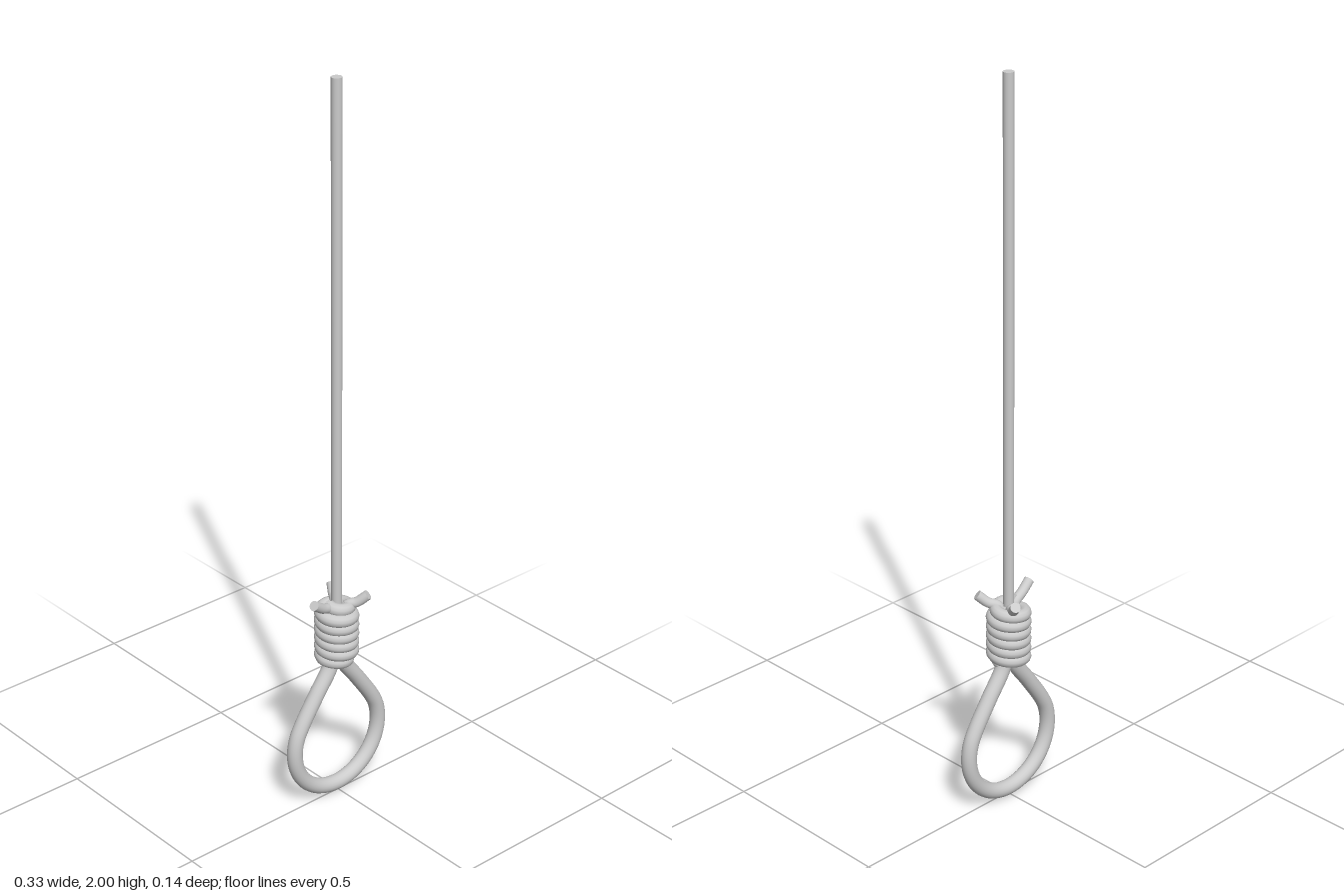
import * as THREE from 'three';

const V = (x, y, z) => new THREE.Vector3(x, y, z);

export function createModel() {
  const model = new THREE.Group();
  const mat = new THREE.MeshStandardMaterial({ color: 0xcccccc });
  const Z = -0.005; // rope axis

  const add = (name, geometry) => {
    const mesh = new THREE.Mesh(geometry, mat);
    mesh.name = name;
    model.add(mesh);
    return mesh;
  };

  // Round rope along a smooth path, with both ends capped
  const rope = (name, points, radius, segments, sides = 16) => {
    const curve = new THREE.CatmullRomCurve3(points);
    const mesh = add(name, new THREE.TubeGeometry(curve, segments, radius, sides));
    for (const t of [0, 1]) {
      const cap = new THREE.Mesh(new THREE.CircleGeometry(radius, sides), mat);
      const dir = curve.getTangentAt(t).multiplyScalar(t ? 1 : -1);
      cap.name = name + 'End';
      cap.position.copy(curve.getPointAt(t));
      cap.quaternion.setFromUnitVectors(V(0, 0, 1), dir);
      mesh.add(cap);
    }
    return mesh;
  };

  // Long straight rope, running down through the coil
  const bottom = 0.41, top = 2;
  add('straightRope', new THREE.CylinderGeometry(0.014, 0.014, top - bottom, 16))
    .position.set(0, (top + bottom) / 2, Z);

  // Teardrop loop: a round bottom with sides closing toward the coil
  const loop = [V(-0.012, 0.43, Z), V(-0.024, 0.39, Z), V(-0.07, 0.325, Z)];
  const R = 0.146, cy = 0.168;
  for (let i = 0; i <= 16; i++) {
    const a = Math.PI * 0.81 + (i / 16) * Math.PI * 1.38;
    loop.push(V(R * Math.cos(a), cy + R * Math.sin(a), Z));
  }
  loop.push(V(0.07, 0.325, Z), V(0.024, 0.39, Z), V(0.012, 0.43, Z));
  rope('loop', loop, 0.021, 120, 20);

  // Wrapped coil, drawn inward on its first and last half turn
  const coil = [], turns = 6.5, steps = 130;
  for (let i = 0; i <= steps; i++) {
    const t = (i / steps) * turns;
    const inward = Math.max(0, 1 - t / 0.5, 1 - (turns - t) / 0.8);
    const r = 0.042 - 0.018 * inward;
    const a = t * Math.PI * 2;
    coil.push(V(r * Math.cos(a), 0.409 + t * 0.0255, Z + r * Math.sin(a)));
  }
  rope('coil', coil, 0.0175, 320, 12);

  // Core strands hidden inside the coil
  add('core', new THREE.CylinderGeometry(0.03, 0.03, 0.165, 16)).position.set(0, 0.49, Z);

  // Three short tails splaying out of the top of the coil
  const tails = [[-0.09, 0.01, 0.608], [0.033, -0.063, 0.6], [0.058, 0.052, 0.603]];
  for (const [x, z, y] of tails) {
    rope('tail', [
      V(x * 0.18, 0.545, Z + (z - Z) * 0.18),
      V(x * 0.34, 0.572, Z + (z - Z) * 0.34),
      V(x * 0.65, y - 0.022, Z + (z - Z) * 0.65),
      V(x, y, z),
    ], 0.0135, 20);
  }

  return model;
}
